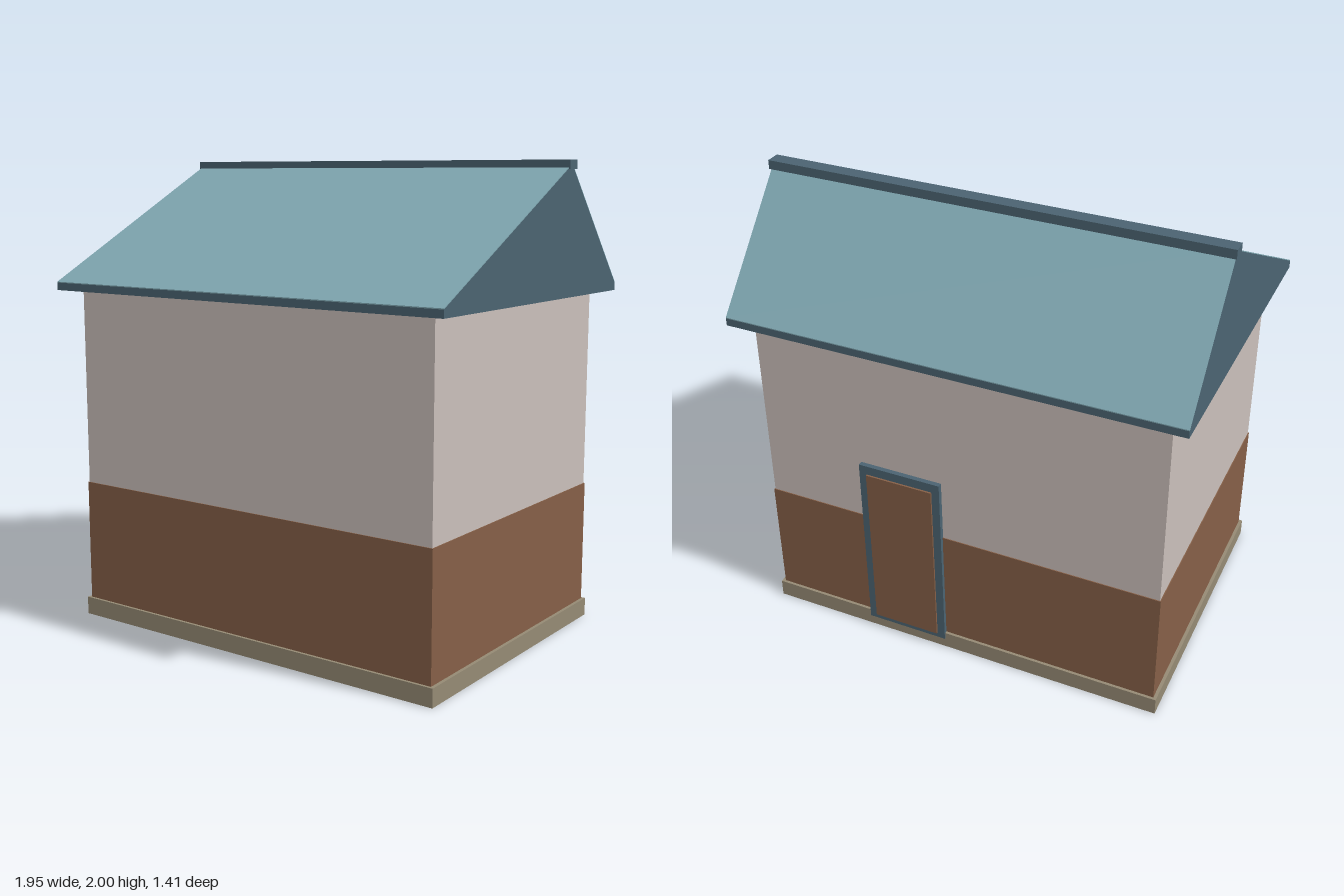
import * as THREE from 'three';

const mat = (name, color) => Object.assign(new THREE.MeshStandardMaterial({ color }), { name });

export function createModel() {
  const house = new THREE.Group();
  house.name = 'house';
  const stone = mat('stone', 0x958a74);
  const timber = mat('brownCladding', 0x855f47);
  const plaster = mat('plaster', 0xcabfba);
  const slate = mat('roofSlope', 0x80a8b2);
  const trim = mat('darkTrim', 0x4b6371);

  const add = (name, geometry, material) => {
    const mesh = new THREE.Mesh(geometry, material);
    mesh.name = name;
    house.add(mesh);
    return mesh;
  };
  // Box given by its limits on each axis
  const box = (name, material, [x0, x1], [y0, y1], [z0, z1]) =>
    add(name, new THREE.BoxGeometry(x1 - x0, y1 - y0, z1 - z0), material)
      .position.set((x0 + x1) / 2, (y0 + y1) / 2, (z0 + z1) / 2);
  // Profile of (z, y) points extruded along x, centred
  const prism = (name, material, points, length) => {
    const shape = new THREE.Shape(points.map(([z, y]) => new THREE.Vector2(z, y)));
    const geometry = new THREE.ExtrudeGeometry(shape, { depth: length, bevelEnabled: false });
    geometry.translate(0, 0, -length / 2).rotateY(-Math.PI / 2);
    add(name, geometry, material);
  };

  // Base and walls
  box('plinth', stone, [-0.905, 0.905], [0, 0.077], [-0.645, 0.645]);
  box('lowerWall', timber, [-0.891, 0.891], [0.077, 0.604], [-0.633, 0.633]);
  box('upperWall', plaster, [-0.887, 0.887], [0.604, 1.452], [-0.629, 0.629]);

  // Roof: dark body with gables and fascias, covered by thin slopes
  const eave = 1.488, peak = 1.986, peakZ = -0.262, half = 0.704, skin = 0.004;
  prism('roofBody', trim, [
    [-half, 1.452], [half, 1.452], [half, eave - skin],
    [peakZ, peak - skin], [-half, eave - skin],
  ], 1.934);
  prism('frontSlope', slate, [
    [half, eave - skin], [half, eave], [peakZ, peak], [peakZ, peak - skin],
  ], 1.934);
  prism('backSlope', slate, [
    [-half, eave - skin], [peakZ, peak - skin], [peakZ, peak], [-half, eave],
  ], 1.934);
  box('ridgeCap', trim, [-0.973, 0.973], [1.962, 2], [-0.293, -0.23]);

  // Back door
  box('doorFrame', trim, [0.065, 0.435], [0.047, 0.884], [-0.65, -0.629]);
  box('doorLeaf', timber, [0.1, 0.4], [0.072, 0.843], [-0.658, -0.64]);

  return house;
}
